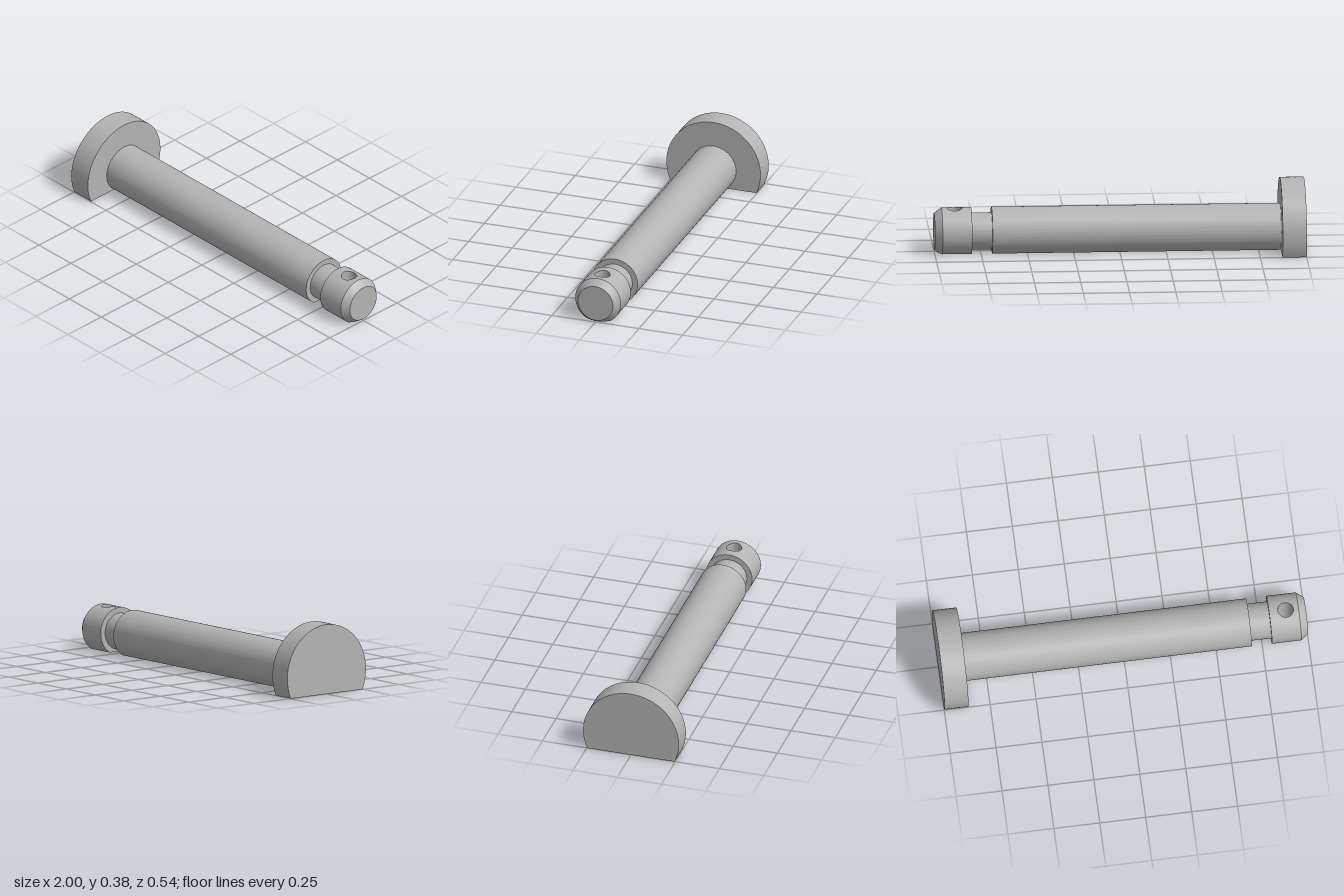
import * as THREE from 'three';
import { mergeGeometries, toCreasedNormals } from 'three/addons/utils/BufferGeometryUtils.js';

const AXIS_Y = 0.11; // height of the pin axis; everything is cut flat at y = 0
const R = 0.13;      // shaft radius
const SEG = 96;

// Skin a grid of points, row by row
function sheet(rows) {
  const pos = [];
  for (let i = 0; i < rows.length - 1; i++) {
    for (let j = 0; j < rows[i].length - 1; j++) {
      const a = rows[i][j], b = rows[i + 1][j], c = rows[i + 1][j + 1], d = rows[i][j + 1];
      pos.push(...a, ...b, ...d, ...b, ...c, ...d);
    }
  }
  const g = new THREE.BufferGeometry();
  g.setAttribute('position', new THREE.Float32BufferAttribute(pos, 3));
  return g;
}

const cutAngle = (r) => (r > AXIS_Y ? Math.asin(-AXIS_Y / r) : -Math.PI / 2);

function arc(x, r, from, to, n = SEG) {
  return Array.from({ length: n + 1 }, (_, i) => {
    const a = from + ((to - from) * i) / n;
    return [x, AXIS_Y + r * Math.sin(a), r * Math.cos(a)];
  });
}

// Loft D-shaped sections given as [x, radius]; radius 0 closes an end
function loft(stations) {
  return sheet(stations.map(([x, r]) => {
    const a = cutAngle(r);
    const ring = arc(x, r, a, Math.PI - a);
    return [...ring, ring[0]];
  }));
}

// Length of the tail pierced by the vertical cross hole
function drilledSection() {
  const cx = 0.89, hole = 0.042, hx = 0.07, a0 = cutAngle(R), w = R * Math.cos(a0);
  const roof = (z) => AXIS_Y + Math.sqrt(R * R - z * z);
  // Loop blending from the round hole (t = 0) to the rectangular border (t = 1)
  const loop = (t, height) => Array.from({ length: SEG + 1 }, (_, i) => {
    const a = (i / SEG) * Math.PI * 2, c = Math.cos(a), s = Math.sin(a);
    const k = 1 / Math.max(Math.abs(c), Math.abs(s));
    const x = cx + THREE.MathUtils.lerp(hole * c, hx * c * k, t);
    const z = THREE.MathUtils.lerp(hole * s, w * s * k, t);
    return [x, height(z), z];
  });
  const floor = () => 0;
  const steps = [0, 0.2, 0.4, 0.6, 0.8, 1];
  const side = (from, to) => sheet([cx - hx, cx + hx].map((x) => arc(x, R, from, to, 48)));
  return [
    sheet([...steps].reverse().map((t) => loop(t, roof))), // curved top
    sheet([loop(0, floor), loop(1, floor)]),               // flat underside
    sheet([loop(0, roof), loop(0, floor)]),                // hole wall
    side(a0, -a0),
    side(Math.PI + a0, Math.PI - a0),
  ];
}

export function createModel() {
  const group = new THREE.Group();
  const steel = new THREE.MeshStandardMaterial({ color: 0xb4b4b4 });
  steel.name = 'steel grey';

  const add = (name, ...parts) => {
    const mesh = new THREE.Mesh(toCreasedNormals(mergeGeometries(parts), 0.42), steel);
    mesh.name = name;
    group.add(mesh);
  };

  add('head', loft([[-1, 0], [-1, 0.27], [-0.87, 0.27], [-0.87, R]]));
  add('shaft', loft([[-0.87, R], [0.69, R], [0.69, 0.1]]));
  add('grooveNeck', loft([[0.69, 0.1], [0.8, 0.1]]));

  // Tail: collar, drilled length and chamfered tip
  const chamfer = [0, 1, 2, 3, 4, 5, 6].map((i) => [0.96 + (0.04 * i) / 6, R - (0.03 * i) / 6]);
  add('tail',
    loft([[0.8, 0.1], [0.8, R], [0.82, R]]),
    ...drilledSection(),
    loft([...chamfer, [1, 0]]));

  return group;
}
